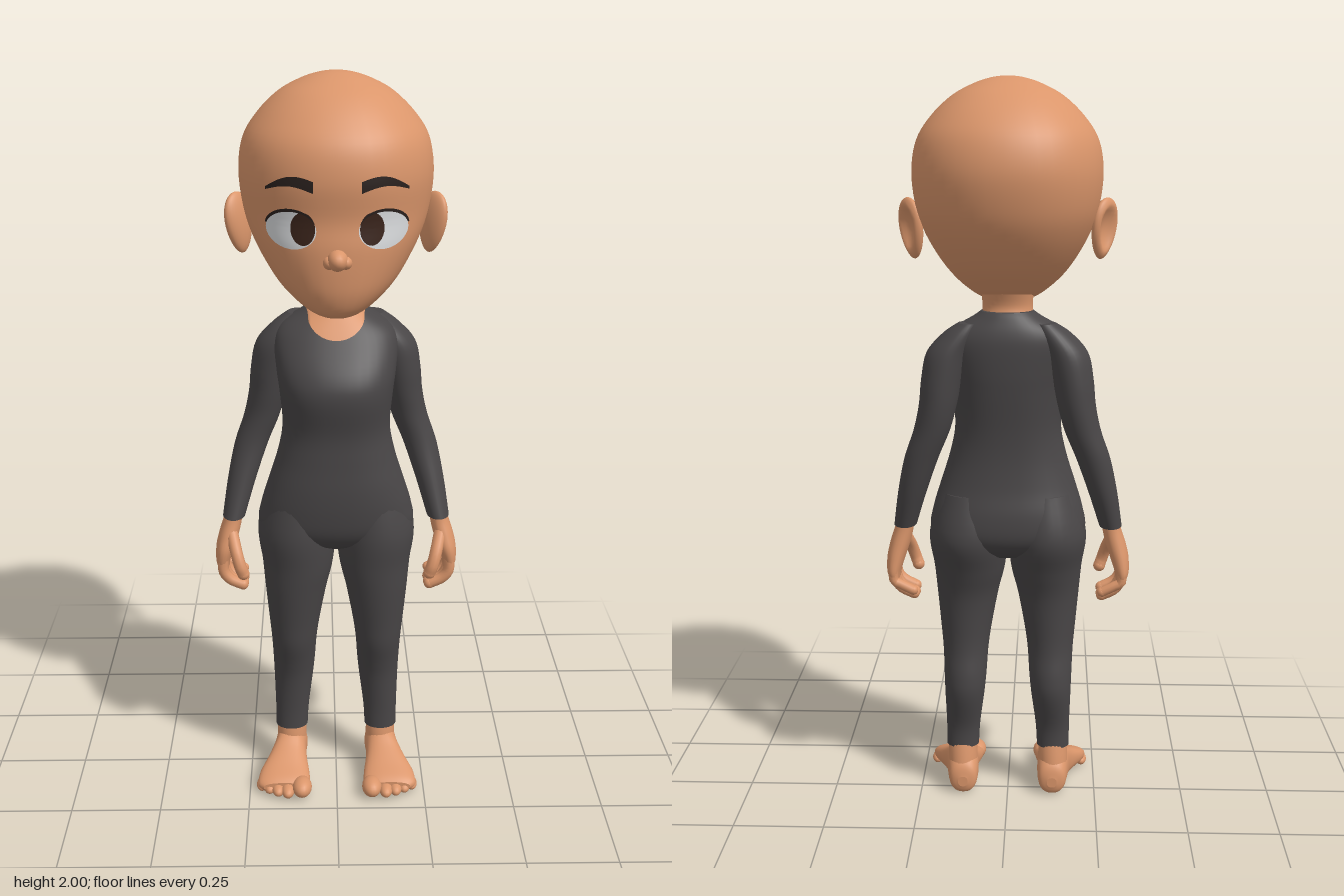
import * as THREE from 'three';
import { mergeGeometries } from 'three/addons/utils/BufferGeometryUtils.js';

const mat = (name, color, side = THREE.FrontSide) => {
  const m = new THREE.MeshStandardMaterial({ color, side });
  m.name = name;
  return m;
};

// Catmull-Rom refinement of a list of cross-sections
function refine(sections, steps = 5) {
  const out = [], last = sections.length - 1;
  for (let i = 0; i < last; i++) {
    const [a, b, c, d] = [i - 1, i, i + 1, i + 2].map(k => sections[Math.min(last, Math.max(0, k))]);
    for (let s = 0; s < steps; s++) {
      const t = s / steps;
      out.push(b.map((_, k) => 0.5 * (2 * b[k] + (c[k] - a[k]) * t + (2 * a[k] - 5 * b[k] + 4 * c[k] - d[k]) * t * t
        + (3 * b[k] - a[k] - 3 * c[k] + d[k]) * t * t * t)));
    }
  }
  out.push(sections[last]);
  return out;
}

// Surface through rows of points, wound so that it faces outwards
function skinRows(rows, wrap) {
  const n = rows[0].length, pos = rows.flat(2), index = [];
  const mid = rows.flat().reduce((s, p) => s + p[1], 0) / (rows.length * n);
  for (let i = 0; i < rows.length - 1; i++) {
    for (let j = 0; j < (wrap ? n : n - 1); j++) {
      const a = i * n + j, b = i * n + (j + 1) % n;
      index.push(a, b, a + n, b, b + n, a + n);
    }
  }
  const P = k => new THREE.Vector3(pos[3 * k], pos[3 * k + 1] - mid, pos[3 * k + 2]);
  let volume = 0;
  for (let i = 0; i < index.length; i += 3) volume += P(index[i]).dot(P(index[i + 1]).cross(P(index[i + 2])));
  if (volume < 0) index.reverse();
  const g = new THREE.BufferGeometry();
  g.setAttribute('position', new THREE.Float32BufferAttribute(pos, 3));
  g.setIndex(index);
  g.computeVertexNormals();
  return g;
}

// Capped body from sections [t, centreX, radiusX, high, low]; t runs along y, or along z
function loft(sections, { n = 2, seg = 32, alongZ = false } = {}) {
  const pw = v => Math.sign(v) * Math.abs(v) ** (2 / n);
  const place = (x, t, w) => alongZ ? [x, w, t] : [x, t, w];
  const rows = refine(sections).map(([t, cx, rx, hi, lo]) => Array.from({ length: seg }, (_, j) => {
    const a = j / seg * Math.PI * 2;
    return place(cx + rx * pw(Math.cos(a)), t, (hi + lo) / 2 + (hi - lo) / 2 * pw(Math.sin(a)));
  }));
  const cap = ([t, cx, , hi, lo]) => Array.from({ length: seg }, () => place(cx, t, (hi + lo) / 2));
  const end = sections[sections.length - 1];
  return skinRows([cap(sections[0]), rows[0], ...rows, rows[rows.length - 1], cap(end)], true);
}

// Depth of a body's front surface at x, y
function frontOf(dense, n, x, y) {
  const up = dense[0][0] < dense[dense.length - 1][0];
  const list = up ? dense : [...dense].reverse();
  let i = 0;
  while (i < list.length - 2 && list[i + 1][0] < y) i++;
  const t = THREE.MathUtils.clamp((y - list[i][0]) / (list[i + 1][0] - list[i][0]), 0, 1);
  const [, , rx, hi, lo] = list[i].map((v, k) => v + (list[i + 1][k] - v) * t);
  const q = Math.max(0, 1 - Math.abs(x / rx) ** n) ** (1 / n);
  return (hi + lo) / 2 + (hi - lo) / 2 * q;
}

// Thin plate hugging a body's front; outline(u, v) gives [x, y]
function plate(sections, n, outline, lift, wrap = false, nu = 28, nv = 8) {
  const dense = refine(sections);
  return skinRows(Array.from({ length: nv + 1 }, (_, i) => Array.from({ length: nu + (wrap ? 0 : 1) }, (_, j) => {
    const [x, y] = outline(j / nu, i / nv);
    return [x, y, frontOf(dense, n, x, y) + lift];
  })), wrap);
}
const disc = (cx, cy, rx, ry) => (u, v) =>
  [cx + rx * v * Math.cos(u * Math.PI * 2), cy + ry * v * Math.sin(u * Math.PI * 2)];

const ball = (x, y, z, rx, ry, rz) => new THREE.SphereGeometry(1, 20, 14).scale(rx, ry, rz).translate(x, y, z);

// Round-tipped digit along a curve
function digit(points, r) {
  const curve = new THREE.CatmullRomCurve3(points.map(p => new THREE.Vector3(...p)));
  return mergeGeometries([new THREE.TubeGeometry(curve, 10, r, 10), ball(...points[points.length - 1], r, r, r)]);
}

function mirror(g) {
  const m = g.clone().scale(-1, 1, 1), ix = m.index.array;
  for (let i = 0; i < ix.length; i += 3) [ix[i], ix[i + 1]] = [ix[i + 1], ix[i]];
  return m;
}

const HEAD = [
  [1.412, 0, 0.03, 0.17, 0.06], [1.42, 0, 0.06, 0.2, 0], [1.44, 0, 0.095, 0.226, -0.07], [1.48, 0, 0.14, 0.243, -0.13],
  [1.53, 0, 0.178, 0.25, -0.185], [1.6, 0, 0.216, 0.252, -0.238], [1.67, 0, 0.239, 0.246, -0.27],
  [1.76, 0, 0.249, 0.256, -0.286], [1.84, 0, 0.236, 0.242, -0.27], [1.9, 0, 0.198, 0.2, -0.228],
  [1.95, 0, 0.145, 0.143, -0.168], [1.98, 0, 0.09, 0.082, -0.105], [1.995, 0, 0.045, 0.035, -0.055], [2, 0, 0.012, 0.005, -0.02]];
const TORSO = [
  [1.4, 0, 0.07, 0.03, -0.09], [1.385, 0, 0.09, 0.045, -0.1], [1.35, 0, 0.145, 0.075, -0.114], [1.31, 0, 0.165, 0.105, -0.12],
  [1.24, 0, 0.16, 0.155, -0.118], [1.18, 0, 0.152, 0.169, -0.112], [1.08, 0, 0.145, 0.15, -0.1], [1, 0, 0.16, 0.15, -0.098],
  [0.92, 0, 0.185, 0.153, -0.106], [0.85, 0, 0.206, 0.149, -0.12], [0.79, 0, 0.213, 0.137, -0.12],
  [0.75, 0, 0.17, 0.11, -0.1], [0.72, 0, 0.09, 0.06, -0.06]];
const LEG = [
  [0.9, 0.1, 0.085, 0.125, -0.095], [0.78, 0.109, 0.108, 0.14, -0.123], [0.68, 0.107, 0.099, 0.13, -0.09],
  [0.6, 0.113, 0.086, 0.12, -0.065], [0.5, 0.118, 0.072, 0.105, -0.055], [0.43, 0.12, 0.064, 0.095, -0.055],
  [0.36, 0.121, 0.06, 0.075, -0.065], [0.3, 0.123, 0.056, 0.062, -0.062], [0.2, 0.128, 0.048, 0.052, -0.032],
  [0.135, 0.13, 0.046, 0.05, -0.028]];
const ARM = [
  [1.37, 0.1, 0.03, -0.02, -0.09], [1.34, 0.125, 0.047, 0.015, -0.105], [1.29, 0.158, 0.057, 0.025, -0.118],
  [1.22, 0.175, 0.055, 0.02, -0.122], [1.15, 0.186, 0.051, 0.01, -0.12], [1.08, 0.203, 0.049, 0, -0.112],
  [1, 0.233, 0.046, 0, -0.1], [0.9, 0.261, 0.039, 0.02, -0.08], [0.8, 0.284, 0.031, 0.045, -0.05]];
const PALM = [
  [0.83, 0.28, 0.024, 0.035, -0.042], [0.79, 0.288, 0.026, 0.04, -0.043], [0.75, 0.299, 0.028, 0.052, -0.048],
  [0.71, 0.31, 0.026, 0.062, -0.054], [0.67, 0.317, 0.02, 0.058, -0.058], [0.645, 0.315, 0.014, 0.05, -0.052]];
const ANKLE = [
  [0.16, 0.13, 0.041, 0.045, -0.024], [0.11, 0.13, 0.042, 0.052, -0.036], [0.05, 0.13, 0.042, 0.055, -0.047]];
const FOOT = [
  [-0.052, 0.128, 0.014, 0.055, 0.025], [-0.04, 0.128, 0.037, 0.09, 0.003], [0, 0.13, 0.045, 0.125, 0], [0.04, 0.135, 0.047, 0.118, 0.004],
  [0.08, 0.142, 0.056, 0.095, 0.006], [0.13, 0.15, 0.071, 0.07, 0.004], [0.17, 0.152, 0.074, 0.053, 0], [0.187, 0.152, 0.058, 0.042, 0.012]];
const TOES = [[0.1, 0.185, 0.028, 0.04], [0.14, 0.188, 0.019, 0.034], [0.168, 0.18, 0.018, 0.032], [0.193, 0.167, 0.017, 0.03], [0.215, 0.153, 0.016, 0.028]];

// Dished ear, its back rim flaring outwards
function earGeometry() {
  const g = new THREE.SphereGeometry(1, 28, 20), p = g.attributes.position;
  for (let i = 0; i < p.count; i++) {
    const y = p.getY(i), z = p.getZ(i), r = Math.hypot(y, z);
    let x = p.getX(i) * 0.022;
    if (x > 0) x -= 0.026 * Math.max(0, 1 - (r / 0.75) ** 2);
    p.setXYZ(i, x, y * 0.08, z * (0.047 + 0.01 * y));
  }
  g.rotateY(0.65).rotateZ(-0.12).translate(0.252, 1.615, -0.03);
  g.computeVertexNormals();
  return g;
}

export function createModel() {
  const root = new THREE.Group();
  root.name = 'figure';
  const skin = mat('skin', 0xdb966b), suit = mat('suit', 0x494647), white = mat('eyeWhite', 0xdcdee0);
  const iris = mat('irisBrown', 0x3a241b), hair = mat('browHair', 0x2a211e, THREE.DoubleSide);
  const add = (name, g, m) => {
    const mesh = new THREE.Mesh(g, m);
    mesh.name = name;
    root.add(mesh);
  };
  const pair = (name, g, m) => {
    add(name + 'Left', g, m);
    add(name + 'Right', mirror(g), m);
  };

  // Head, nose and neck
  add('head', loft(HEAD, { n: 2.15, seg: 40 }), skin);
  add('nose', mergeGeometries([ball(0, 1.578, 0.245, 0.026, 0.027, 0.04), ball(0.02, 1.572, 0.24, 0.017, 0.018, 0.026),
    ball(-0.02, 1.572, 0.24, 0.017, 0.018, 0.026)]), skin);
  add('neck', loft([[1.48, 0, 0.075, 0.06, -0.1], [1.42, 0, 0.067, 0.042, -0.077], [1.385, 0, 0.07, 0.043, -0.082],
    [1.34, 0, 0.085, 0.05, -0.09]]), skin);
  pair('ear', earGeometry(), skin);

  // Eyes and brows
  pair('eyeWhite', plate(HEAD, 2.15, disc(0.113, 1.648, 0.062, 0.047), 0.004, true), white);
  pair('iris', plate(HEAD, 2.15, disc(0.084, 1.653, 0.03, 0.04), 0.007, true), iris);
  pair('upperLash', plate(HEAD, 2.15, (u, v) => {
    const a = 0.25 + u * 2.5, k = 0.97 + 0.16 * v * Math.sin(Math.PI * (0.12 + 0.85 * u));
    return [0.113 + 0.064 * k * Math.cos(a), 1.648 + 0.047 * k * Math.sin(a)];
  }, 0.009, false, 24, 2), hair);
  pair('brow', plate(HEAD, 2.15, (u, v) => [0.058 + 0.116 * u,
    1.755 + 0.018 * Math.sin(u * Math.PI * 0.95) - 0.012 * u + (v - 0.5) * 0.028 * (1 - 0.75 * u * u)], 0.009, false, 20, 3), hair);

  // Suit body and scooped neckline
  add('torso', loft(TORSO, { n: 2.3, seg: 40 }), suit);
  add('neckline', plate(TORSO, 2.3, (u, v) => {
    const s = 2 * u - 1, low = 1.392 - 0.062 * Math.sqrt(1 - s * s);
    return [0.078 * s, low + (1.392 - low) * v];
  }, 0.005), skin);
  pair('sleeve', loft(ARM), suit);
  pair('trouserLeg', loft(LEG), suit);

  // Hands
  pair('palm', loft(PALM, { n: 2.3, seg: 24 }), skin);
  const fingers = [0.043, 0.014, -0.015, -0.042].map((z, i) => {
    const tip = [0.592, 0.584, 0.588, 0.605][i] + 0.012;
    return digit([[0.315, 0.69, z], [0.314, 0.645, z * 1.02], [0.297, tip + 0.018, z], [0.262, tip, z * 0.95]], i === 3 ? 0.0135 : 0.0155);
  });
  fingers.push(digit([[0.29, 0.76, 0.03], [0.275, 0.71, 0.072], [0.265, 0.675, 0.083], [0.258, 0.655, 0.08]], 0.017));
  pair('fingers', mergeGeometries(fingers), skin);

  // Feet
  pair('ankle', loft(ANKLE, { seg: 24 }), skin);
  pair('foot', loft(FOOT, { n: 2.3, seg: 28, alongZ: true }), skin);
  pair('toes', mergeGeometries(TOES.map(([x, z, r, l]) => ball(x, r * 0.95 + 0.002, z, r, r * 0.95, l))), skin);
  return root;
}
